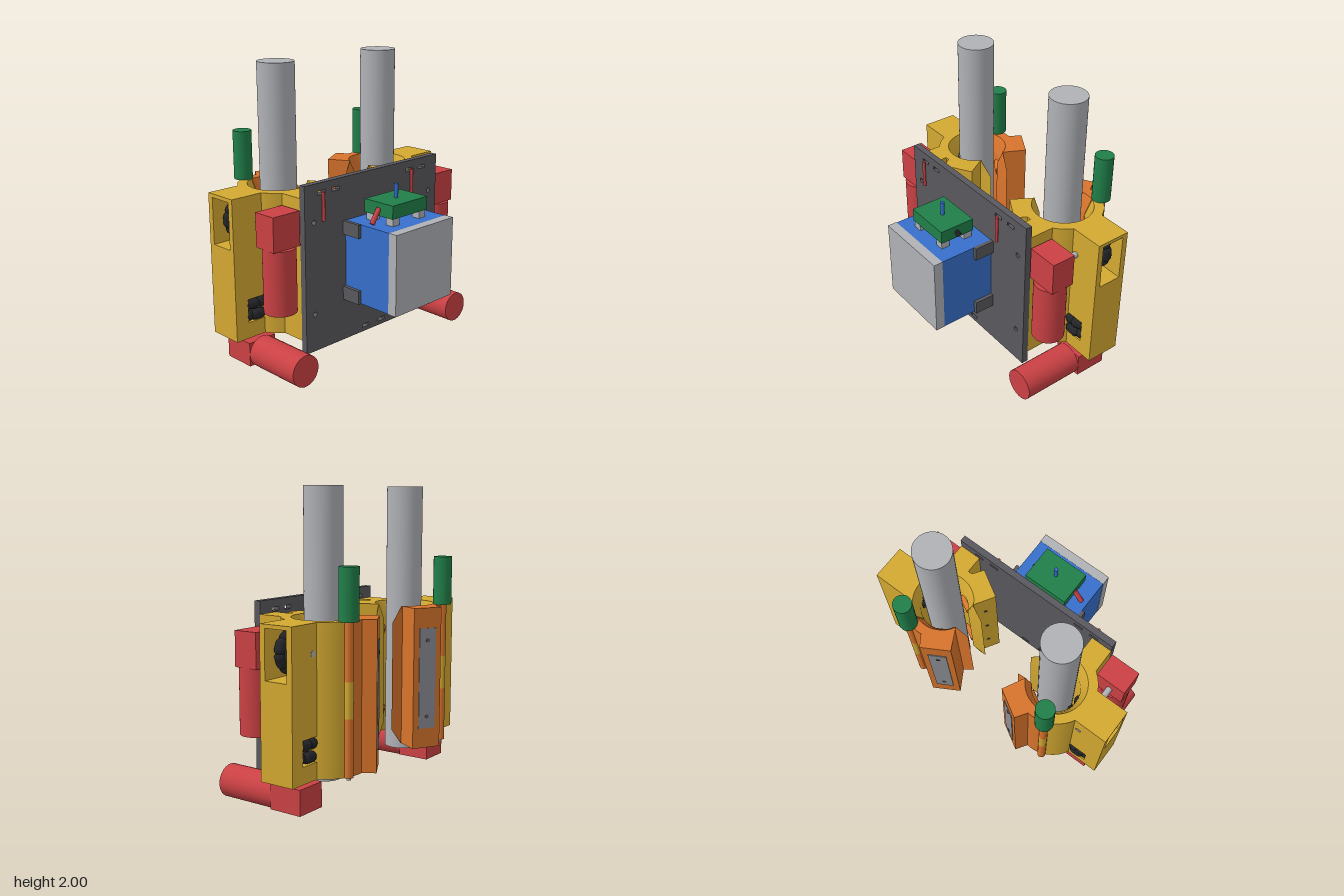
import * as THREE from 'three';
import { toCreasedNormals } from 'three/addons/utils/BufferGeometryUtils.js';

const mat = (name, color) => { const m = new THREE.MeshStandardMaterial({ color }); m.name = name; return m; };
const M = {
  yellow: mat('yellow', 0xd4a932), orange: mat('orange', 0xd8742c), red: mat('red', 0xcb4144),
  dark: mat('darkGrey', 0x59585e), silver: mat('silver', 0xb0b2b6), green: mat('green', 0x207f49),
  blue: mat('blue', 0x3770cb), black: mat('black', 0x232529), grey: mat('midGrey', 0x8c8e95),
};

function add(parent, name, geo, m) {
  const mesh = new THREE.Mesh(geo, m);
  mesh.name = name;
  parent.add(mesh);
  return mesh;
}
// box given by its extents
function box(parent, name, m, x0, x1, y0, y1, z0, z1) {
  const b = add(parent, name, new THREE.BoxGeometry(x1 - x0, y1 - y0, z1 - z0), m);
  b.position.set((x0 + x1) / 2, (y0 + y1) / 2, (z0 + z1) / 2);
  return b;
}
// cylinder between two points
function rod(parent, name, m, r, a, b, seg = 32) {
  const p = new THREE.Vector3(...a), q = new THREE.Vector3(...b), d = q.clone().sub(p);
  const c = add(parent, name, new THREE.CylinderGeometry(r, r, d.length(), seg), m);
  c.position.copy(p).add(q).multiplyScalar(0.5);
  c.quaternion.setFromUnitVectors(new THREE.Vector3(0, 1, 0), d.normalize());
  return c;
}

const CX = 0.47, CY = 0.27; // pole axis in plan, as (x, -z)
function arc(r, from, to, n) {
  return Array.from({ length: n + 1 }, (_, i) => {
    const a = THREE.MathUtils.degToRad(from + (to - from) * i / n);
    return [CX + r * Math.cos(a), CY + r * Math.sin(a)];
  });
}
// loft one plan outline, which varies with t, through the heights of the clamp
function loft(outline) {
  const levels = [[0.23, 0], [0.34, 1], [1.085, 1], [1.195, 0]];
  const rings = levels.map(([y, t]) => ({ y, pts: outline(t).map(p => new THREE.Vector2(...p)) }));
  if (THREE.ShapeUtils.isClockWise(rings[0].pts)) rings.forEach(r => r.pts.reverse());
  const pos = [], n = rings[0].pts.length;
  const put = (k, i) => pos.push(rings[k].pts[i].x, rings[k].y, -rings[k].pts[i].y);
  for (let k = 0; k < 3; k++) for (let i = 0; i < n; i++) {
    const j = (i + 1) % n;
    put(k, i); put(k, j); put(k + 1, j);
    put(k, i); put(k + 1, j); put(k + 1, i);
  }
  for (const [a, b, c] of THREE.ShapeUtils.triangulateShape(rings[0].pts, [])) {
    put(3, a); put(3, b); put(3, c);
    put(0, a); put(0, c); put(0, b);
  }
  const g = new THREE.BufferGeometry();
  g.setAttribute('position', new THREE.Float32BufferAttribute(pos, 3));
  return toCreasedNormals(g, 0.4);
}
const innerR = t => 0.205 - 0.045 * t;

// fixed jaw: ring, mounting leg and front lug
const fixedJaw = t => [
  ...arc(0.27, 69, -54.8, 14),
  [0.625, -0.12], [0.47, -0.12], [0.47, 0], [0.44, 0], [0.39, -0.073], [0.21, 0.033], [0.295, 0.172],
  [0.293 - 0.083 * t, 0.176 + 0.024 * t],
  ...arc(innerR(t), -153, 69, 24),
];
// hinged jaw with rear lug
const hingedJaw = t => [
  ...arc(0.27, 71, 96, 4),
  [0.39, 0.617], [0.21, 0.513], [0.295, 0.368],
  [0.293 - 0.083 * t, 0.364 - 0.022 * t],
  ...arc(innerR(t), 153, 71, 10),
];

// pair of roller wheels, axis along y
function rollerWheels(name) {
  const g = new THREE.Group();
  g.name = name;
  for (const k of [-1, 1]) {
    const y = k * 0.04;
    rod(g, 'wheelHub', M.orange, 0.075, [0, y - 0.036, 0], [0, y + 0.036, 0], 20);
    for (const d of [-0.02, 0.02])
      rod(g, 'wheelDisc', M.blue, 0.118, [0, y + d - 0.004, 0], [0, y + d + 0.004, 0], 24);
    for (let i = 0; i < 8; i++) {
      const a = (i + (k > 0 ? 0.5 : 0)) * Math.PI / 4;
      const r = add(g, 'wheelRoller', new THREE.CapsuleGeometry(0.037, 0.04, 4, 10), M.black);
      r.position.set(0.107 * Math.cos(a), y, 0.107 * Math.sin(a));
      r.rotation.set(Math.PI / 2, 0, a);
      r.rotation.order = 'XYZ';
      r.quaternion.setFromUnitVectors(new THREE.Vector3(0, 1, 0), new THREE.Vector3(-Math.sin(a), 0, Math.cos(a)));
    }
  }
  return g;
}

function leftClimber() {
  const g = new THREE.Group();
  rod(g, 'pole', M.silver, 0.123, [CX, 0.17, -0.267], [CX, 2, -0.267], 48);
  add(g, 'fixedJaw', loft(fixedJaw), M.yellow);
  add(g, 'hingedJaw', loft(hingedJaw), M.orange);

  // hollow drive arm with wheel windows
  const arm = (x0, x1, y0, y1, z0 = -0.395, z1 = -0.152) => box(g, 'driveArm', M.yellow, x0, x1, y0, y1, z0, z1);
  arm(0.68, 0.945, 0.23, 0.34);
  arm(0.845, 0.945, 0.34, 0.5);
  arm(0.64, 0.685, 0.34, 0.5);
  arm(0.68, 0.945, 0.5, 0.855);
  arm(0.68, 0.945, 0.855, 1.17, -0.395, -0.355);
  arm(0.68, 0.945, 0.855, 1.17, -0.19, -0.152);
  arm(0.68, 0.945, 1.17, 1.195);

  // drive wheels
  const upper = rollerWheels('upperWheels');
  upper.position.set(0.745, 1.01, -0.272);
  upper.rotation.x = Math.PI / 2;
  const lower = rollerWheels('lowerWheels');
  lower.position.set(0.765, 0.42, -0.268);
  g.add(upper, lower);

  // motors, gearboxes and shafts
  rod(g, 'upperMotor', M.red, 0.109, [0.743, 0.455, 0.052], [0.743, 0.89, 0.052], 40);
  box(g, 'upperGearbox', M.red, 0.635, 0.852, 0.89, 1.12, -0.04, 0.13);
  rod(g, 'upperShaft', M.silver, 0.021, [0.745, 1.01, -0.04], [0.745, 1.01, -0.398]);
  rod(g, 'lowerMotor', M.red, 0.108, [0.743, 0.11, -0.145], [0.743, 0.11, 0.285], 40);
  box(g, 'lowerGearbox', M.red, 0.635, 0.852, 0.03, 0.195, -0.375, -0.145);
  rod(g, 'lowerShaft', M.silver, 0.021, [0.745, 0.19, -0.268], [0.745, 0.36, -0.268]);

  // hinge and its actuator
  const hinge = (name, m, r, y0, y1) => rod(g, name, m, r, [0.56, y0, -0.525], [0.56, y1, -0.525], 24);
  hinge('hingeKnuckle', M.orange, 0.03, 0.23, 0.6);
  hinge('hingeKnuckle', M.yellow, 0.03, 0.6, 0.83);
  hinge('hingeKnuckle', M.orange, 0.03, 0.83, 1.195);
  hinge('hingePin', M.silver, 0.014, 0.213, 0.24);
  hinge('hingeActuator', M.green, 0.063, 1.195, 1.525);

  // cover plate with screws on the rear lug
  const plate = add(g, 'lugPlate', new THREE.BoxGeometry(0.125, 0.69, 0.008), M.grey);
  plate.position.set(0.3, 0.712, -0.566);
  plate.rotation.y = Math.PI * 7 / 6;
  for (const y of [0.45, 0.975])
    rod(g, 'plateScrew', M.dark, 0.014, [0.3, y, -0.566], [0.2965, y, -0.572], 12);
  for (const y of [0.42, 0.71, 1.0])
    rod(g, 'lugScrew', M.dark, 0.012, [0.2525, y, -0.103], [0.249, y, -0.106], 12);

  // idler rollers set in the lugs
  for (const y of [0.42, 1.0]) for (const s of [-1, 1]) {
    const x = CX - 0.09, z = -CY + s * 0.15;
    rod(g, 'idlerRoller', M.orange, 0.045, [x - 0.05, y, z - s * 0.029], [x + 0.05, y, z + s * 0.029], 20);
  }
  return g;
}

// mirrored copy across x = 0 with corrected face order
function mirrored(src) {
  const out = new THREE.Group();
  src.updateMatrixWorld(true);
  src.traverse(o => {
    if (!o.isMesh) return;
    const g = (o.geometry.index ? o.geometry.toNonIndexed() : o.geometry.clone()).applyMatrix4(o.matrixWorld);
    g.applyMatrix4(new THREE.Matrix4().makeScale(-1, 1, 1));
    for (const a of Object.values(g.attributes)) for (let i = 0; i < a.count; i += 3)
      for (let c = 0; c < a.itemSize; c++) {
        const v = a.getComponent(i + 1, c);
        a.setComponent(i + 1, c, a.getComponent(i + 2, c));
        a.setComponent(i + 2, c, v);
      }
    add(out, o.name, g, o.material);
  });
  return out;
}

function backPlate(parent) {
  const rect = (S, x0, x1, y0, y1) => new S([[x0, y0], [x1, y0], [x1, y1], [x0, y1]].map(p => new THREE.Vector2(...p)));
  const s = rect(THREE.Shape, -0.625, 0.625, 0.145, 1.28);
  for (const [x, y] of [[-0.48, 1.215], [-0.355, 1.215], [0.345, 1.215], [0.47, 1.215], [-0.08, 0.185], [0.075, 0.185]])
    s.holes.push(rect(THREE.Path, x - 0.033, x + 0.033, y - 0.012, y + 0.012));
  for (const x of [-0.547, 0.547]) for (const y of [0.403, 1.028])
    s.holes.push(new THREE.Path().absarc(x, y, 0.017, 0, Math.PI * 2));
  add(parent, 'mountingPlate', new THREE.ExtrudeGeometry(s, { depth: 0.045, bevelEnabled: false }), M.dark).position.z = 0.12;
}

export function createModel() {
  const model = new THREE.Group();
  const left = leftClimber(), right = mirrored(left);
  left.name = 'leftClimber';
  right.name = 'rightClimber';
  model.add(left, right);
  backPlate(model);

  // control box with front panel and brackets
  box(model, 'controlBox', M.blue, -0.27, 0.27, 0.44, 0.985, 0.165, 0.555);
  box(model, 'frontPanel', M.silver, -0.273, 0.273, 0.44, 0.987, 0.555, 0.62);
  for (const s of [-1, 1]) for (const y of [0.438, 0.895])
    box(model, 'bracket', M.dark, s * 0.282 - 0.013, s * 0.282 + 0.013, y, y + 0.093, 0.165, 0.307);

  // sensor board on four feet
  box(model, 'sensorBoard', M.green, -0.165, 0.165, 1.035, 1.125, 0.235, 0.485);
  for (const x of [-0.125, 0.125]) for (const z of [0.272, 0.448])
    box(model, 'boardFoot', M.silver, x - 0.031, x + 0.031, 0.985, 1.035, z - 0.031, z + 0.031);
  rod(model, 'antenna', M.blue, 0.014, [0, 1.12, 0.36], [0, 1.22, 0.36], 16);
  rod(model, 'redLead', M.red, 0.017, [-0.16, 1.085, 0.36], [-0.225, 0.99, 0.36], 16);
  rod(model, 'blackLead', M.black, 0.017, [0.15, 1.09, 0.37], [0.172, 1.05, 0.35], 16);
  for (const x of [-0.48, 0.35])
    rod(model, 'indicatorPin', M.red, 0.011, [x, 1.03, 0.182], [x, 1.222, 0.182], 16);
  return model;
}
